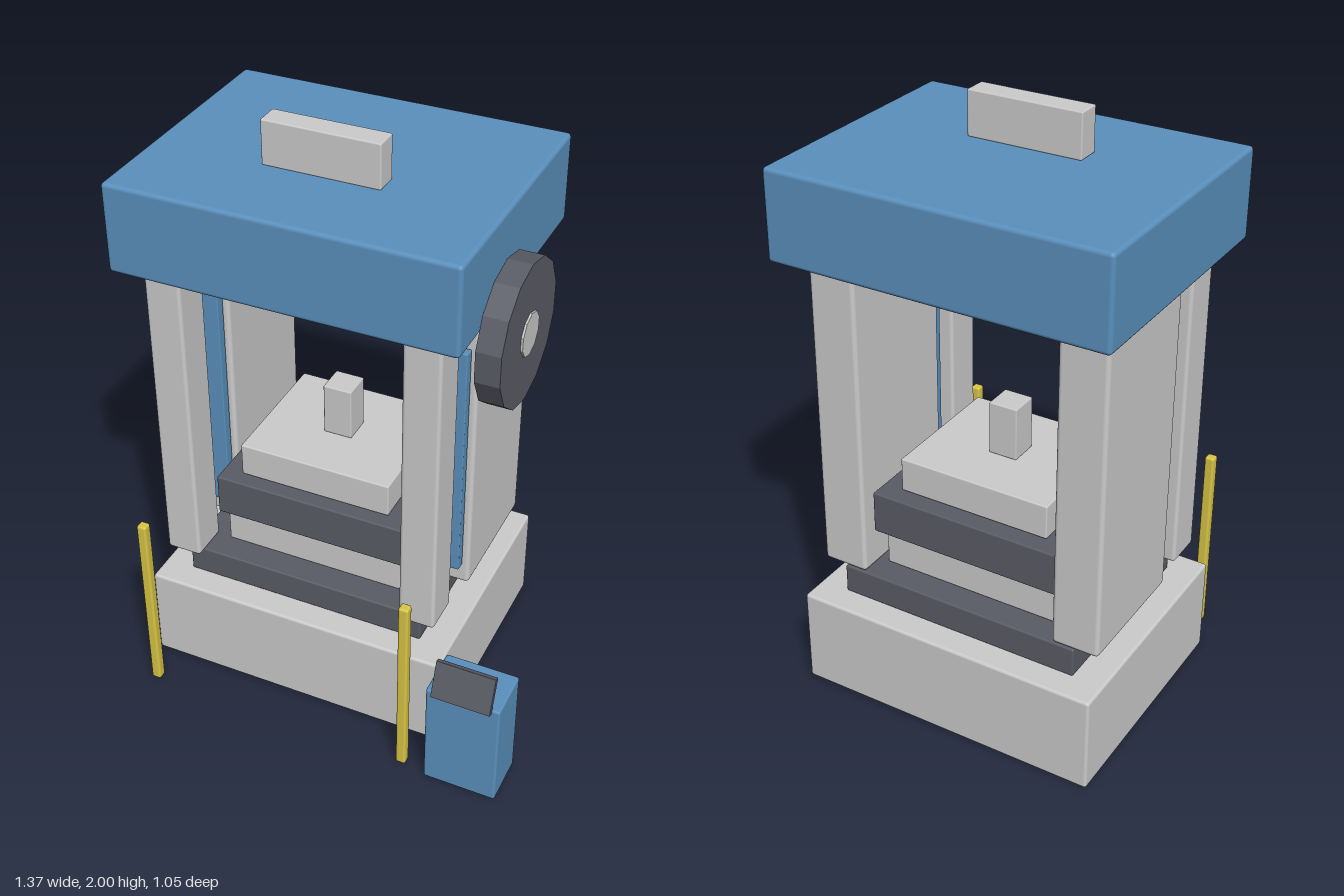
import * as THREE from 'three';
import { RoundedBoxGeometry } from 'three/addons/geometries/RoundedBoxGeometry.js';

const mat = (color, flatShading = false) => new THREE.MeshStandardMaterial({ color, flatShading });

export function createModel() {
  const root = new THREE.Group();
  const grey = mat(0xcccccc), blue = mat(0x5a90bd), dark = mat(0x5a5c66), yellow = mat(0xd8c545);
  const greyFlat = mat(0xcccccc, true), darkFlat = mat(0x5a5c66, true);

  // Box with softened edges, given by its extents along each axis
  function box(name, material, [x0, x1], [y0, y1], [z0, z1], radius = 0.006) {
    const geometry = new RoundedBoxGeometry(x1 - x0, y1 - y0, z1 - z0, 2, radius);
    const mesh = new THREE.Mesh(geometry, material);
    mesh.name = name;
    mesh.position.set((x0 + x1) / 2, (y0 + y1) / 2, (z0 + z1) / 2);
    root.add(mesh);
    return mesh;
  }

  // Disc lying along x with a corner at the top
  function disc(name, material, radius, sides, x0, x1) {
    const geometry = new THREE.CylinderGeometry(radius, radius, x1 - x0, sides, 1, false, Math.PI / 2);
    geometry.rotateZ(Math.PI / 2);
    const mesh = new THREE.Mesh(geometry, material);
    mesh.name = name;
    mesh.position.set((x0 + x1) / 2, 1.466, 0.025);
    root.add(mesh);
  }

  // Base and stacked plates
  box('base', grey, [-0.65, 0.415], [0, 0.34], [-0.505, 0.345], 0.01);
  box('bedPlate', dark, [-0.545, 0.31], [0.34, 0.442], [-0.415, 0.255]);
  box('lowerDie', grey, [-0.44, 0.2], [0.444, 0.562], [-0.325, 0.165], 0.004);
  box('slidePlate', dark, [-0.455, 0.22], [0.585, 0.732], [-0.37, 0.205]);
  box('upperDie', grey, [-0.385, 0.148], [0.734, 0.852], [-0.31, 0.155], 0.005);
  box('ramPost', grey, [-0.17, -0.07], [0.852, 1.036], [-0.13, -0.03], 0.004);

  // Columns and guide rails, mirrored about the frame's middle
  const middle = -0.119;
  for (const side of [-1, 1]) {
    const span = (inner, outer) => [middle + side * inner, middle + side * outer].sort((a, b) => a - b);
    box('rearColumn', grey, span(0.348, 0.51), [0.444, 1.552], [-0.415, 0.042], 0.014);
    box('frontColumn', grey, span(0.368, 0.492), [0.444, 1.552], [0.155, 0.295], 0.012);
    box('guideRail', blue, span(0.366, 0.488), [0.525, 1.375], [0.045, 0.08], 0.004);
  }

  // Crown and the block on top of it
  box('crown', blue, [-0.687, 0.451], [1.552, 1.852], [-0.527, 0.364], 0.014);
  box('topBlock', grey, [-0.312, 0.076], [1.852, 2], [-0.015, 0.066], 0.005);

  // Flywheel and hub
  disc('flywheel', darkFlat, 0.235, 14, 0.456, 0.536);
  disc('flywheelHub', greyFlat, 0.071, 10, 0.449, 0.543);

  // Control cabinet with tilted panel
  box('controlCabinet', blue, [0.437, 0.685], [0, 0.397], [0.33, 0.505], 0.008);
  const panel = box('controlPanel', darkFlat, [0.461, 0.659], [0.385, 0.511], [0.485, 0.505], 0.001);
  panel.rotation.x = -0.35;

  // Safety posts in front
  for (const x of [-0.583, 0.347]) {
    box('safetyPost', yellow, [x - 0.017, x + 0.017], [0, 0.682], [0.454, 0.488], 0.008);
  }
  return root;
}
